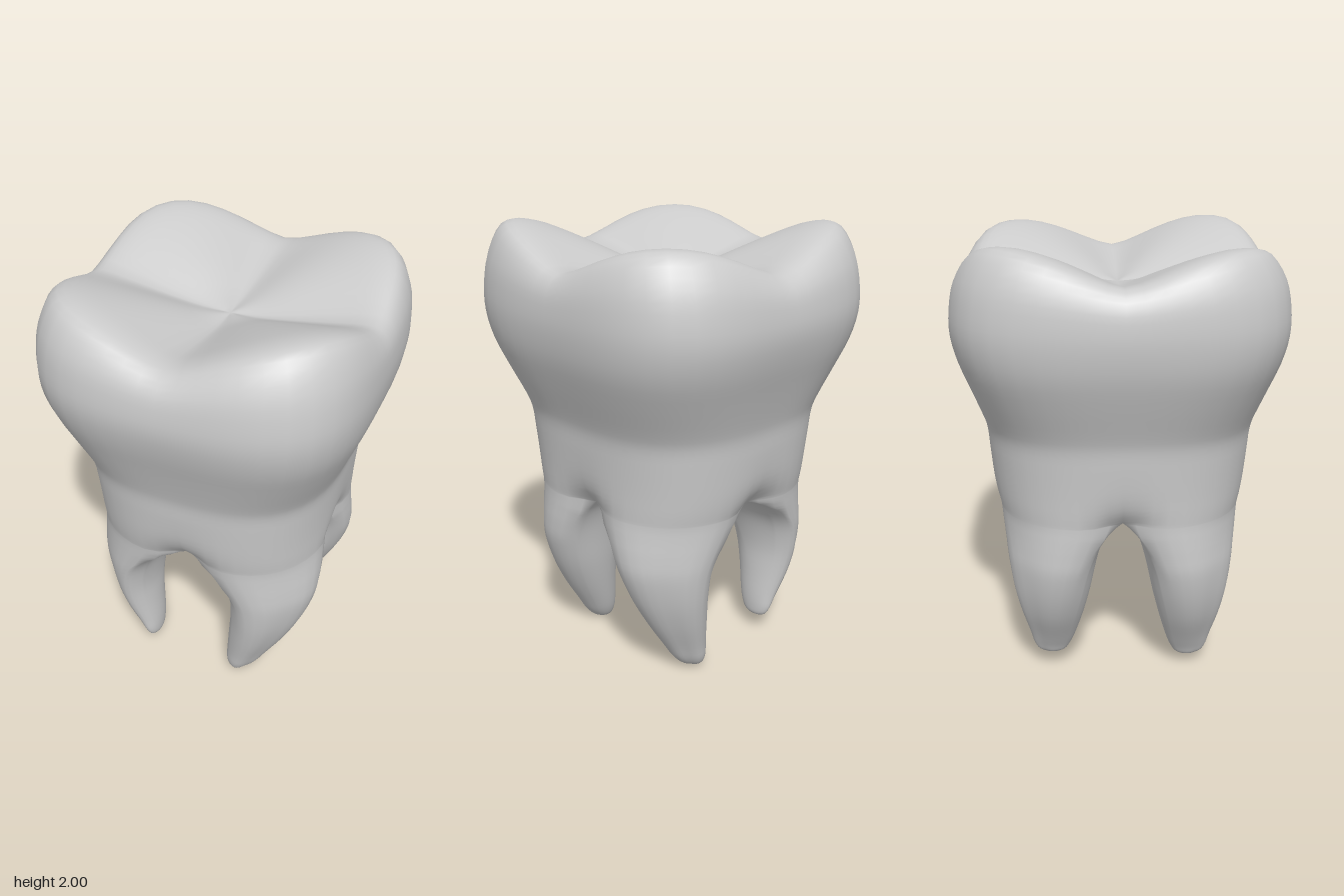
import * as THREE from 'three';
import { mergeGeometries, mergeVertices } from 'three/addons/utils/BufferGeometryUtils.js';

const Q = 14; // points per quarter ring
const FURROW = 0.14; // depth of the furrow where two roots part
const NECK = 2.75; // squareness of the neck

// Smooth interpolation of every column of a table of cross-sections
function sampleRows(rows, count) {
  const columns = rows[0].map((_, c) =>
    new THREE.SplineCurve(rows.map((r, i) => new THREE.Vector2(i, r[c]))));
  return Array.from({ length: count + 1 }, (_, i) =>
    columns.map((curve) => curve.getPoint(i / count).y));
}

// Rounded-square outline of half-width 1, pinched by the furrow at its mid-sides
function outline(phi, furrow, n) {
  const c = Math.cos(phi), s = Math.sin(phi);
  const r = (Math.abs(c) ** n + Math.abs(s) ** n) ** (-1 / n);
  const f = r * (1 - furrow * Math.cos(2 * phi) ** 12);
  return [c * f, s * f];
}

// Skin a list of closed rings
function loft(rings, flip) {
  const n = rings[0].length, index = [];
  for (let i = 0; i < rings.length - 1; i++) {
    for (let j = 0; j < n; j++) {
      const a = i * n + j, b = i * n + (j + 1) % n, c = a + n, d = b + n;
      if (flip) index.push(a, b, c, b, d, c);
      else index.push(a, c, b, b, c, d);
    }
  }
  const g = new THREE.BufferGeometry();
  g.setAttribute('position', new THREE.Float32BufferAttribute(rings.flat(2), 3));
  g.setIndex(index);
  return g;
}

// Neck, bulging crown and chewing surface:
// y, half x, half z, cusp height, furrow, squareness
function crownGeometry() {
  const rows = [
    [0.82, 0.545, 0.55, 0, FURROW, NECK],
    [0.88, 0.547, 0.562, 0, 0.06, NECK],
    [0.96, 0.55, 0.573, 0, 0.015, NECK],
    [1.08, 0.557, 0.583, 0, 0, 2.8],
    [1.17, 0.565, 0.59, 0, 0, 2.85],
    [1.24, 0.585, 0.607, 0, 0, 2.95],
    [1.37, 0.635, 0.65, 0, 0, 3.2],
    [1.5, 0.68, 0.695, 0, 0, 3.4],
    [1.61, 0.7, 0.72, 0.01, 0, 3.5],
    [1.7, 0.702, 0.718, 0.035, 0, 3.5],
    [1.785, 0.688, 0.695, 0.08, 0, 3.4],
    [1.84, 0.645, 0.635, 0.14, 0, 3.3],
    [1.85, 0.575, 0.55, 0.147, 0, 3.2],
    [1.83, 0.45, 0.43, 0.125, 0, 3],
    [1.8, 0.27, 0.26, 0.075, 0, 2.8],
    [1.78, 0.12, 0.12, 0.025, 0, 2.5],
    [1.775, 0, 0, 0, 0, 2.5],
  ];
  const cuspScale = [1.02, 0.87, 0.95, 0.9]; // per corner, from front left round to back left
  const rings = sampleRows(rows, 48).map(([y, hx, hz, cusp, furrow, n]) =>
    Array.from({ length: 4 * Q }, (_, j) => {
      const phi = (j / Q) * Math.PI / 2;
      const [x, z] = outline(phi, furrow, n);
      const rise = cusp * cuspScale[Math.floor(j / Q)] * Math.abs(Math.sin(2 * phi)) ** 1.45;
      return [x * hx, y + rise, z * hz];
    }));
  return loft(rings, false);
}

// One root: a quarter of the neck that narrows and rounds off towards its tip.
// Rows: y, inner x, outer x, inner z, outer z, roundness
function rootGeometry(rows, sx, sz, tip) {
  // blend from the neck's own outline to a rounded section between the limits
  const place = (inner, outer, neck, oval, round) =>
    THREE.MathUtils.lerp(Math.max(inner, outer * neck), inner + (outer - inner) * oval, round);
  const rings = sampleRows(rows, 36).map(([y, xi, xo, zi, zo, round]) =>
    Array.from({ length: 4 * Q }, (_, j) => {
      let p;
      if (j <= Q) p = outline((j / Q) * Math.PI / 2, FURROW, NECK);
      else {
        const t = (j - Q) / (3 * Q) * 2; // inner walls, meeting at the tooth's axis
        p = [Math.max(0, t - 1) * (1 - FURROW), Math.max(0, 1 - t) * (1 - FURROW)];
      }
      const a = Math.PI * (j <= Q ? j / Q - 0.25 : 0.75 + (j - Q) / (3 * Q));
      // slightly flattened on the outer corner, to run on from the neck
      const r = 0.5 - 0.1 * Math.max(0, Math.cos(a - Math.PI / 4)) ** 6;
      return [
        sx * place(xi, xo, p[0], 0.5 + r * Math.cos(a), round),
        0.82 - (0.82 - y) * (0.82 - tip) / 0.82,
        sz * place(zi, zo, p[1], 0.5 + r * Math.sin(a), round),
      ];
    }));
  return loft(rings, sx * sz > 0);
}

export function createModel() {
  const leftRoot = [
    [0.82, 0, 0.545, 0, 0.55, 0],
    [0.79, 0.035, 0.545, 0.025, 0.545, 0.1],
    [0.74, 0.085, 0.546, 0.055, 0.537, 0.25],
    [0.66, 0.127, 0.546, 0.085, 0.523, 0.48],
    [0.56, 0.148, 0.535, 0.112, 0.506, 0.7],
    [0.42, 0.15, 0.487, 0.14, 0.483, 0.85],
    [0.28, 0.14, 0.416, 0.172, 0.454, 0.95],
    [0.14, 0.13, 0.33, 0.208, 0.42, 1],
    [0.06, 0.128, 0.28, 0.235, 0.403, 1],
    [0.015, 0.145, 0.235, 0.265, 0.375, 1],
    [0, 0.19, 0.19, 0.32, 0.32, 1],
  ];
  // The right roots are slimmer and spread further from the axis
  const innerX = [0, 0.055, 0.12, 0.18, 0.22, 0.245, 0.245, 0.238, 0.238, 0.245, 0.27];
  const outerX = [0.545, 0.544, 0.543, 0.539, 0.53, 0.495, 0.44, 0.363, 0.32, 0.298, 0.27];
  const rightRoot = leftRoot.map(([y, , , zi, zo, k], i) => [y, innerX[i], outerX[i], zi, zo, k]);

  // Crown and four roots share their seams, so they are welded into one smooth skin
  const skin = mergeVertices(mergeGeometries([
    crownGeometry(),
    rootGeometry(leftRoot, 1, 1, 0),
    rootGeometry(leftRoot, 1, -1, 0.01),
    rootGeometry(rightRoot, -1, 1, 0.05),
    rootGeometry(rightRoot, -1, -1, 0.08),
  ]), 1e-4);
  skin.computeVertexNormals();

  const tooth = new THREE.Mesh(skin, new THREE.MeshStandardMaterial({ color: 0xcccccc }));
  tooth.name = 'crownAndRoots';
  const group = new THREE.Group();
  group.name = 'molarTooth';
  group.add(tooth);
  return group;
}
